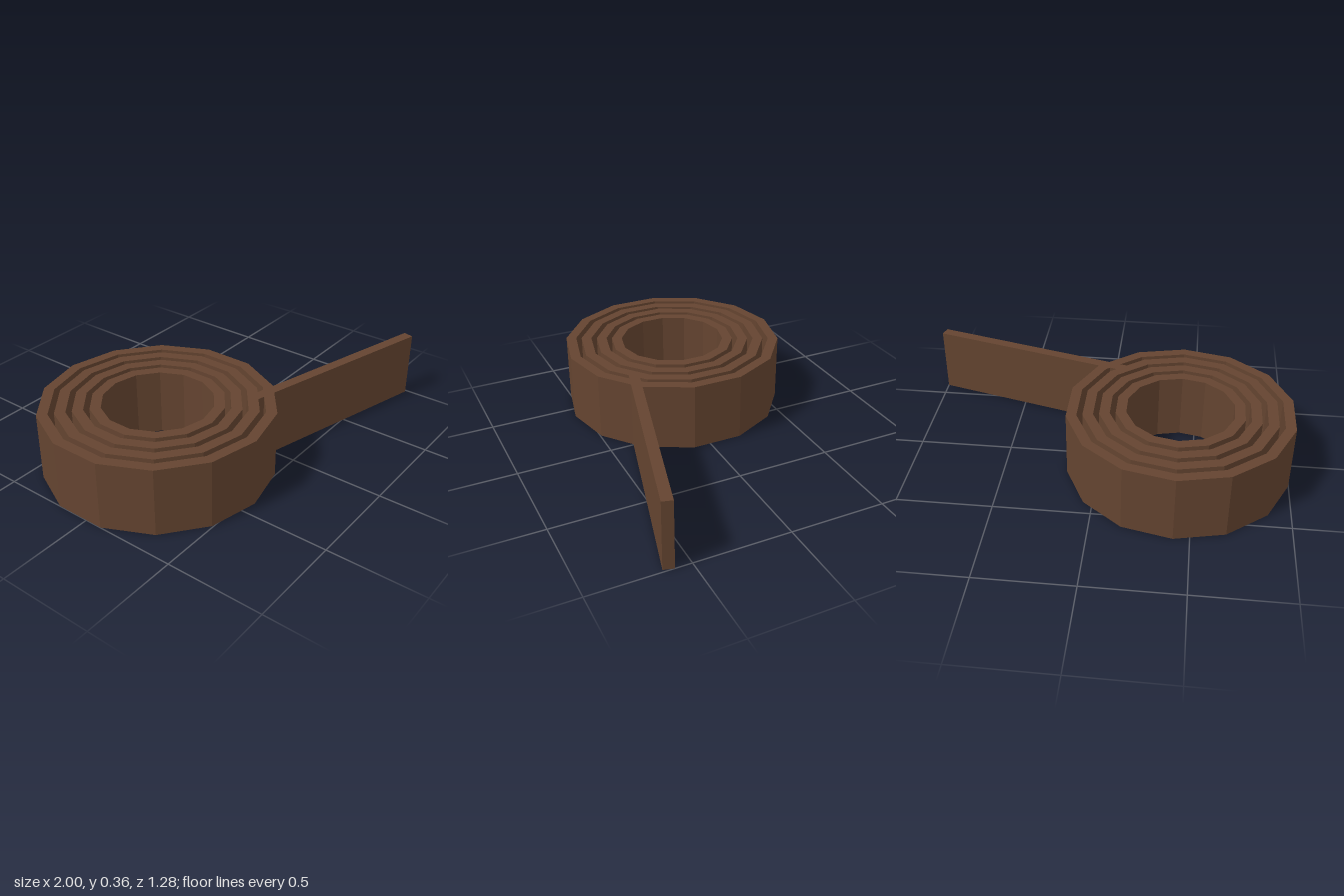
import * as THREE from 'three';

const HEIGHT = 0.36;
const SIDES = 14;
const CENTER = { x: -0.418, z: -0.043 };

// Regular polygon with a corner on the z axis
function polygon(radius) {
  return Array.from({ length: SIDES }, (_, i) => {
    const a = Math.PI / 2 + (i / SIDES) * Math.PI * 2;
    return new THREE.Vector2(Math.cos(a) * radius, Math.sin(a) * radius);
  });
}

// Faceted upright band between two radii
function bandGeometry(outer, inner) {
  const shape = new THREE.Shape(polygon(outer));
  shape.holes.push(new THREE.Path(polygon(inner)));
  return new THREE.ExtrudeGeometry(shape, { depth: HEIGHT, bevelEnabled: false })
    .rotateX(-Math.PI / 2);
}

export function createModel() {
  const model = new THREE.Group();
  model.name = 'rolledStrip';
  const brown = new THREE.MeshStandardMaterial({ color: 0x644430 });
  brown.name = 'brown';

  // Four nested windings of the roll
  const roll = new THREE.Group();
  roll.name = 'roll';
  roll.position.set(CENTER.x, 0, CENTER.z);
  for (let i = 0; i < 4; i++) {
    const outer = 0.596 - i * 0.0857;
    const winding = new THREE.Mesh(bandGeometry(outer, outer - 0.055), brown);
    winding.name = `winding${i + 1}`;
    roll.add(winding);
  }
  model.add(roll);

  // Loose end leaving the roll at a slant
  const start = new THREE.Vector2(-0.1, 0.317);
  const end = new THREE.Vector2(0.993, 0.61);
  const tail = new THREE.Mesh(
    new THREE.BoxGeometry(start.distanceTo(end), HEIGHT, 0.055), brown);
  tail.name = 'looseEnd';
  tail.position.set((start.x + end.x) / 2, HEIGHT / 2, (start.y + end.y) / 2);
  tail.rotation.y = -Math.atan2(end.y - start.y, end.x - start.x);
  model.add(tail);

  return model;
}
